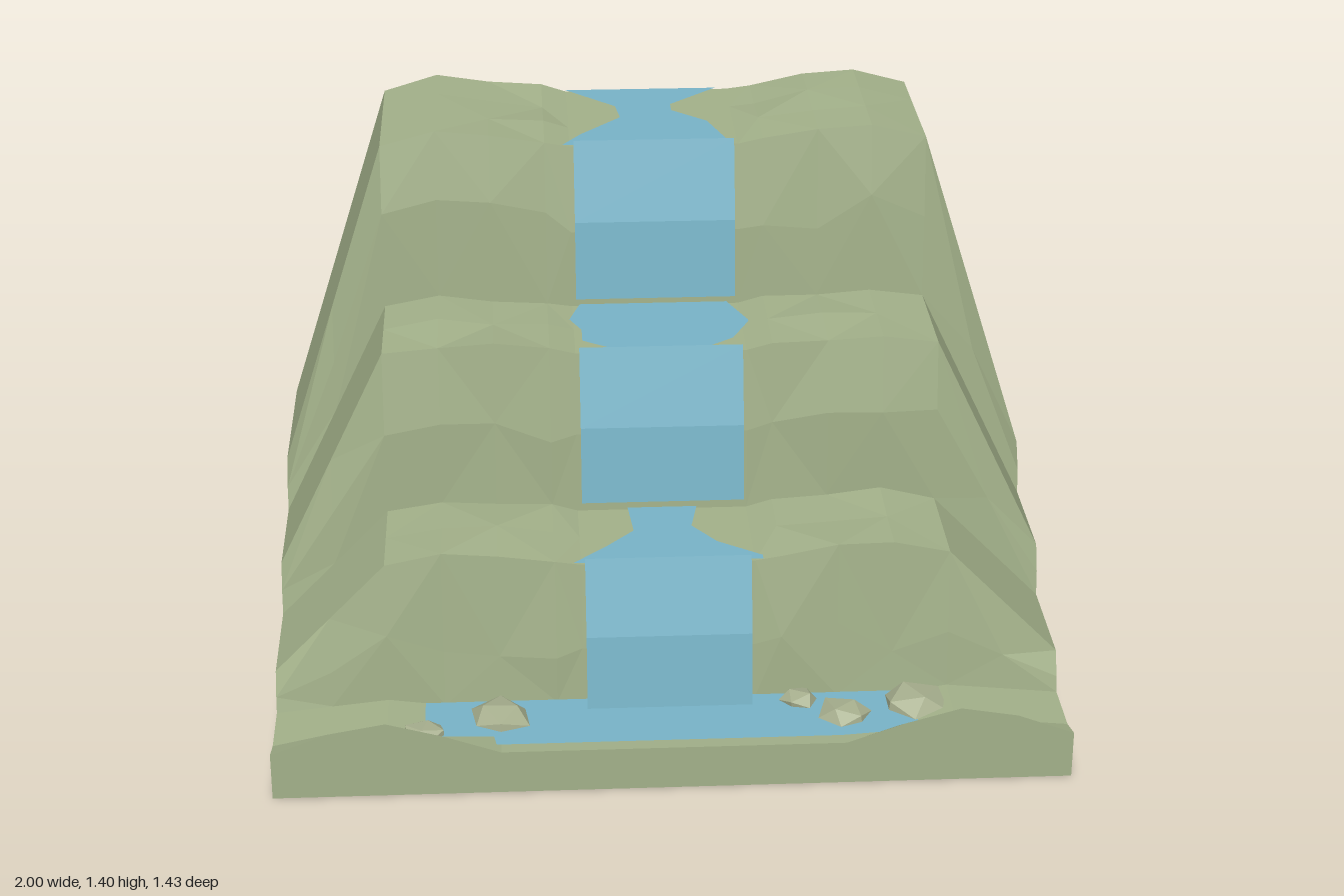
import * as THREE from 'three';

// Small seeded generator
function seeded(seed) {
  return () => {
    seed = (seed * 16807) % 2147483647;
    return seed / 2147483647;
  };
}

function lerpTable(table, x) {
  for (let i = 1; i < table.length; i++) {
    const [x0, y0] = table[i - 1], [x1, y1] = table[i];
    if (x <= x1) return y0 + (y1 - y0) * (x - x0) / (x1 - x0);
  }
  return table[table.length - 1][1];
}

// Terraces from front to back: stream level, height at the side wall, depth range, crest height
const TIERS = [
  { level: 0.5, side: 0.2, front: 0.43, back: 0.13, foot: 0.47, crest: 0.022, mid: 0.4 },
  { level: 0.93, side: 0.33, front: 0.09, back: -0.22, foot: 0.13, crest: 0.014, mid: 0.5 },
  { level: 1.36, side: 0.46, front: -0.27, back: -0.714, foot: -0.22, crest: 0.03, mid: 0.48 },
];
const DEPTH = 0.714;

function terrainGeometry() {
  const rand = seeded(71);
  const noise = (a) => (rand() - 0.5) * 2 * a;
  const half = [0.1, 0.22, 0.286, 0.43, 0.571, 0.714, 0.857, 1];
  const xs = [...half.map((x) => -x).reverse(), ...half];

  const tierHeight = (t, ax) => lerpTable([
    [0, t.level - 0.016], [0.22, t.level - 0.016], [0.286, t.level - 0.002], [0.43, t.level + t.crest * 0.7],
    [0.571, t.level + t.crest], [0.714, t.level - 0.005], [1, t.side]], ax);
  const poolBed = [[0, 0.11], [0.571, 0.11], [0.714, 0.13], [1, 0.1]];
  const frontBank = [[0, 0.115], [0.43, 0.115], [0.571, 0.165], [0.714, 0.205], [0.857, 0.18], [1, 0.125]];

  // Cross rows of points, front to back
  const rows = [];
  const addRow = (fn) => rows.push(xs.map((x) => new THREE.Vector3(x, ...fn(Math.abs(x)))));
  addRow((ax) => [lerpTable(frontBank, ax), DEPTH]);
  addRow((ax) => [lerpTable(poolBed, ax), 0.63]);
  addRow((ax) => [lerpTable(poolBed, ax), 0.47]);
  let lower = (ax) => lerpTable(poolBed, ax);
  TIERS.forEach((t) => {
    const base = lower;
    // rough cliff, with its knee near the foot
    addRow((ax) => {
      const rough = ax > 0.25 && ax < 0.8 ? 1 : 0;
      const y = base(ax) + (tierHeight(t, ax) - base(ax)) * (t.mid + noise(0.14) * rough);
      return [y, t.foot - 0.01 + noise(0.01) * rough];
    });
    // terrace top
    const steps = t.level > 1 ? 3 : 2;
    for (let i = 0; i <= steps; i++) {
      const z = t.front + (t.back - t.front) * i / steps;
      addRow((ax) => [tierHeight(t, ax) + (ax > 0.25 && ax < 0.7 ? noise(0.009) : 0), z]);
    }
    lower = (ax) => tierHeight(t, ax);
  });

  const pos = [];
  const tri = (...pts) => pts.forEach((p) => pos.push(p.x, p.y, p.z));
  const quad = (a, b, c, d) => { tri(a, b, c); tri(a, c, d); };
  const ground = (p) => new THREE.Vector3(p.x, 0, p.z);
  const last = xs.length - 1, back = rows[rows.length - 1], front = rows[0];
  for (let r = 0; r < rows.length - 1; r++) {
    const A = rows[r], B = rows[r + 1];
    for (let i = 0; i < last; i++) {
      if ((r + i) % 2) quad(A[i], A[i + 1], B[i + 1], B[i]);
      else quad(A[i + 1], B[i + 1], B[i], A[i]);
    }
    quad(ground(B[0]), ground(A[0]), A[0], B[0]);
    quad(ground(A[last]), ground(B[last]), B[last], A[last]);
  }
  for (let i = 0; i < last; i++) {
    quad(ground(front[i]), ground(front[i + 1]), front[i + 1], front[i]);
    quad(ground(back[i + 1]), ground(back[i]), back[i], back[i + 1]);
  }
  quad(ground(back[0]), ground(back[last]), ground(front[last]), ground(front[0]));

  const geo = new THREE.BufferGeometry();
  geo.setAttribute('position', new THREE.Float32BufferAttribute(pos, 3));
  geo.computeVertexNormals();
  return geo;
}

// Flat water surface from an outline of [x, z] points
function waterSheet(outline, y) {
  const geo = new THREE.ShapeGeometry(new THREE.Shape(outline.map(([x, z]) => new THREE.Vector2(x, -z))));
  geo.rotateX(-Math.PI / 2);
  geo.translate(0, y, 0);
  return geo;
}

// Bowed sheet hanging from a terrace lip
function fallGeometry(top, bottom, z) {
  const geo = new THREE.PlaneGeometry(0.42, 1, 1, 2);
  const p = geo.attributes.position;
  const out = [0, 0.062, 0.09];
  for (let i = 0; i < p.count; i++) {
    const row = Math.floor(i / 2);
    p.setY(i, top + (bottom - top) * row / 2);
    p.setZ(i, z + out[row]);
  }
  const flat = geo.toNonIndexed();
  flat.computeVertexNormals();
  return flat;
}

// Squashed irregular boulder
function rockGeometry(radius, seed) {
  const rand = seeded(seed * 977 + 13);
  const geo = new THREE.IcosahedronGeometry(radius, 0);
  const p = geo.attributes.position;
  const scales = new Map();
  for (let i = 0; i < p.count; i++) {
    const key = [p.getX(i), p.getY(i), p.getZ(i)].map((v) => Math.round(v * 1e4)).join();
    if (!scales.has(key)) scales.set(key, 0.85 + rand() * 0.3);
    const s = scales.get(key);
    p.setXYZ(i, p.getX(i) * s, p.getY(i) * s * 0.5, p.getZ(i) * s);
  }
  geo.computeVertexNormals();
  return geo;
}

export function createModel() {
  const group = new THREE.Group();
  const material = (name, color, side = THREE.FrontSide) => {
    const m = new THREE.MeshStandardMaterial({ color, flatShading: true, side });
    m.name = name;
    return m;
  };
  const land = material('mossy stone', 0xa3b18a);
  const water = material('water', 0x78b4c8, THREE.DoubleSide);
  const stone = material('boulder stone', 0xa8b08f);
  const add = (name, geo, mat) => {
    const mesh = new THREE.Mesh(geo, mat);
    mesh.name = name;
    group.add(mesh);
    return mesh;
  };

  add('terracedHill', terrainGeometry(), land);

  // Pool at the foot
  add('pool', waterSheet([[-0.64, 0.465], [0.64, 0.465], [0.7, 0.52], [0.69, 0.62], [0.57, 0.665],
    [0.42, 0.68], [-0.42, 0.68], [-0.58, 0.665], [-0.64, 0.62]], 0.117), water);

  // Streams across each terrace
  const streams = [
    [[-0.24, 0.43], [-0.15, 0.34], [-0.08, 0.26], [-0.09, 0.13], [0.09, 0.13], [0.07, 0.24], [0.13, 0.33], [0.24, 0.41], [0.24, 0.43]],
    [[-0.1, 0.09], [-0.2, 0.02], [-0.2, -0.05], [-0.23, -0.12], [-0.2, -0.22], [0.19, -0.22], [0.24, -0.09], [0.19, 0.02], [0.1, 0.09]],
    [[-0.24, -0.27], [-0.19, -0.35], [-0.08, -0.48], [-0.09, -0.57], [-0.22, -0.71], [0.19, -0.71], [0.06, -0.58], [0.06, -0.53], [0.15, -0.44], [0.2, -0.27]],
  ];
  TIERS.forEach((t, i) => {
    add('stream' + (i + 1), waterSheet(streams[i], t.level - 0.011), water);
    const bottom = i ? TIERS[i - 1].level + (i === 1 ? 0.03 : 0.02) : 0.115;
    add('waterfall' + (i + 1), fallGeometry(t.level, bottom, t.front), water);
  });

  // Boulders in the pool: x, z, radius
  [[-0.43, 0.55, 0.085], [-0.62, 0.615, 0.053], [0.33, 0.5, 0.053], [0.44, 0.58, 0.073], [0.62, 0.53, 0.09]]
    .forEach(([x, z, r], i) => {
      const rock = add('boulder' + (i + 1), rockGeometry(r, i + 3), stone);
      rock.position.set(x, 0.117, z);
      rock.rotation.y = i * 1.3;
    });
  return group;
}
